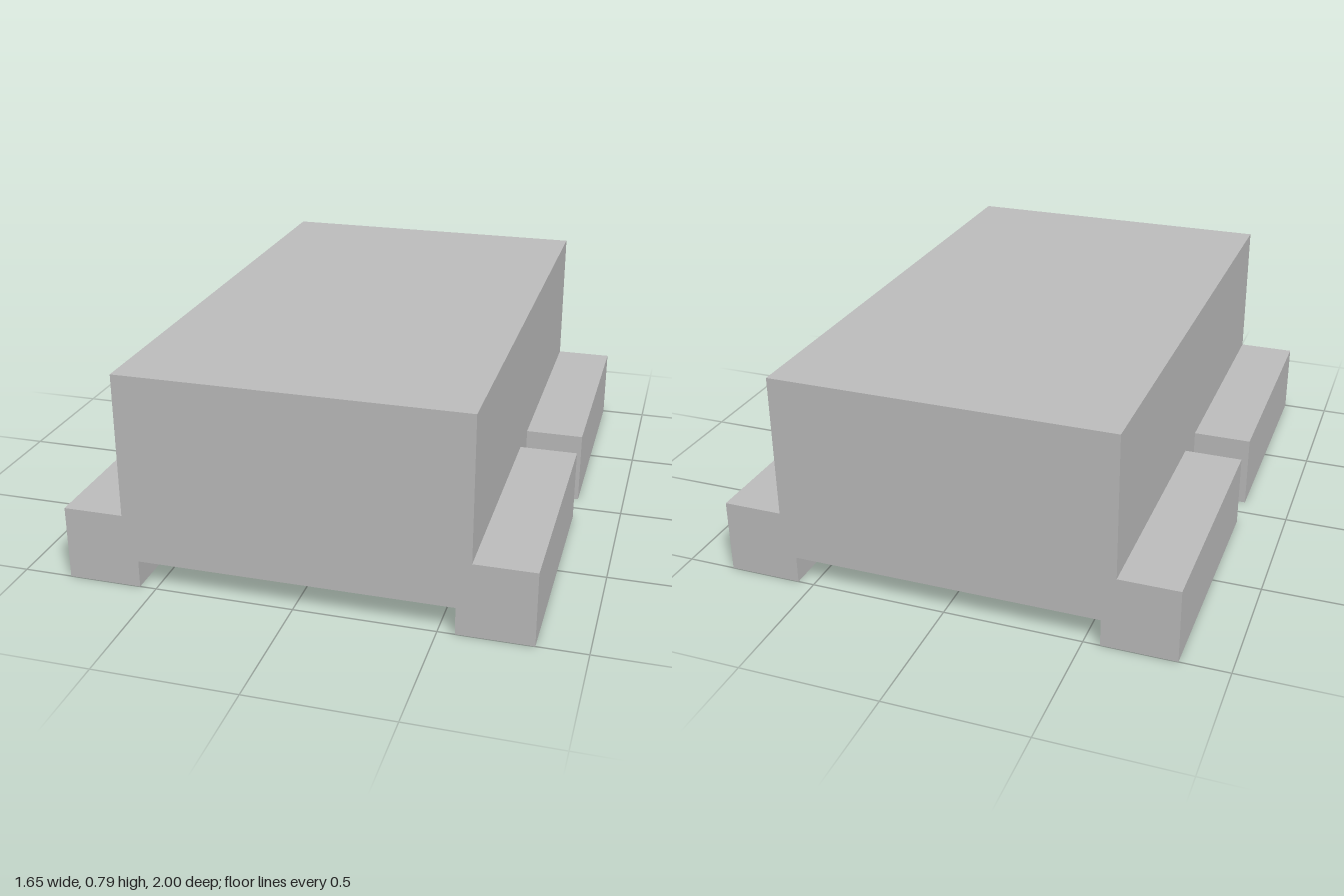
import * as THREE from 'three';

const BODY_HALF_WIDTH = 0.61;
const BODY_BOTTOM = 0.1;
const BODY_TOP = 0.79;
const HALF_LENGTH = 1;
const FOOT_INNER = 0.56;
const FOOT_OUTER = 0.825;
const FOOT_TOP = 0.27;
const HALF_GAP = 0.077;

// Stepped foot section that wraps the lower edge of the body
function footGeometry(side) {
  const profile = [
    [FOOT_INNER, 0], [FOOT_OUTER, 0], [FOOT_OUTER, FOOT_TOP],
    [BODY_HALF_WIDTH, FOOT_TOP], [BODY_HALF_WIDTH, BODY_BOTTOM], [FOOT_INNER, BODY_BOTTOM],
  ];
  const shape = new THREE.Shape(profile.map(([x, y]) => new THREE.Vector2(side * x, y)));
  return new THREE.ExtrudeGeometry(shape, { depth: HALF_LENGTH - HALF_GAP, bevelEnabled: false });
}

export function createModel() {
  const model = new THREE.Group();
  model.name = 'blockWithFeet';
  const grey = new THREE.MeshStandardMaterial({ color: 0xbfbfbf });
  grey.name = 'lightGrey';

  // Main block, raised off the ground
  const body = new THREE.Mesh(
    new THREE.BoxGeometry(2 * BODY_HALF_WIDTH, BODY_TOP - BODY_BOTTOM, 2 * HALF_LENGTH), grey);
  body.name = 'body';
  body.position.y = (BODY_TOP + BODY_BOTTOM) / 2;
  model.add(body);

  // Two feet along each side, separated by a gap in the middle
  for (const [sideName, side] of [['Left', 1], ['Right', -1]]) {
    for (const [endName, z] of [['front', HALF_GAP], ['back', -HALF_LENGTH]]) {
      const foot = new THREE.Mesh(footGeometry(side), grey);
      foot.name = `${endName}${sideName}Foot`;
      foot.position.z = z;
      model.add(foot);
    }
  }
  return model;
}
